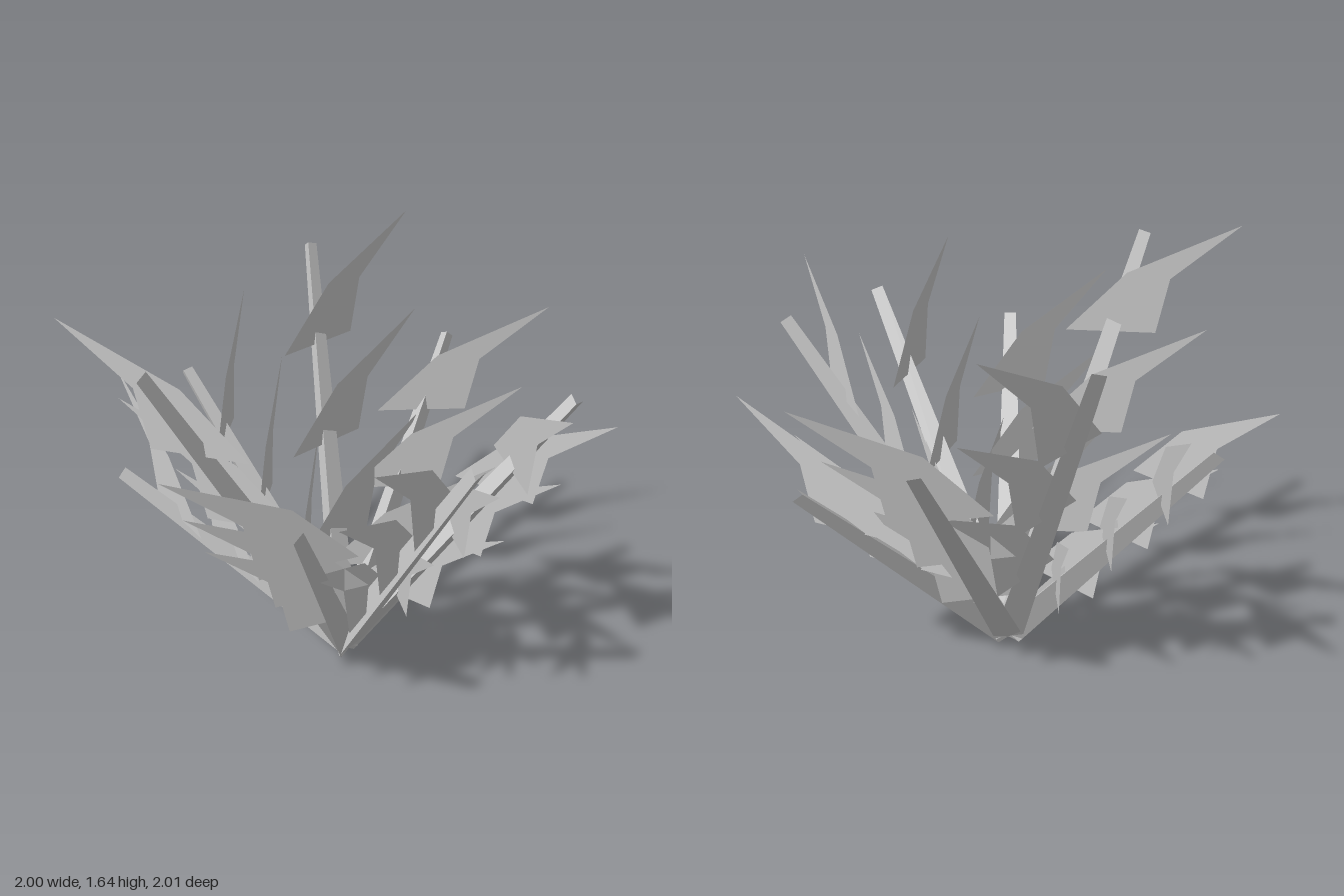
import * as THREE from 'three';

const RADIUS = 0.865;      // horizontal reach of every stem
const ROOT = new THREE.Vector3(0.013, 0.05, 0.012);   // where the stems meet
const LEAF_TURN = 56.5;    // leaf heading relative to its stem, in degrees
// rise of each stem, going round in 40 degree steps from +x towards +z
const RISES = [0.82, 1.295, 1.26, 1.085, 1.505, 0.815, 0.99, 1.435, 1.075];

// flat, swept-back leaf blade standing upright
function leafGeometry() {
  const outline = [[-0.185, 0], [0.185, 0], [0.235, 0.23], [0.508, 0.457], [0.06, 0.25]];
  return new THREE.ShapeGeometry(new THREE.Shape(outline.map(([x, y]) => new THREE.Vector2(x, y))));
}

export function createModel() {
  const model = new THREE.Group();
  model.name = 'spikyPlant';
  const stemMaterial = new THREE.MeshStandardMaterial({ color: 0xcccccc, flatShading: true });
  const leafMaterial = new THREE.MeshStandardMaterial({ color: 0xcccccc, side: THREE.DoubleSide });
  const leafShape = leafGeometry();
  const up = new THREE.Vector3(0, 1, 0);

  RISES.forEach((rise, i) => {
    const angle = THREE.MathUtils.degToRad(i * 40);
    const branch = new THREE.Group();
    branch.name = 'branch' + (i + 1);
    branch.position.copy(ROOT);
    const span = new THREE.Vector3(RADIUS * Math.cos(angle), rise, RADIUS * Math.sin(angle));

    // tapered three-sided stem without end caps, one ridge towards +x
    const stem = new THREE.Mesh(
      new THREE.CylinderGeometry(0.029, 0.068, span.length(), 3, 1, true, Math.PI / 2), stemMaterial);
    stem.name = 'stem';
    stem.position.copy(span).multiplyScalar(0.5);
    stem.quaternion.setFromUnitVectors(up, span.clone().normalize());
    branch.add(stem);

    // three leaves spaced along the stem
    for (const t of [0.25, 0.5, 0.75]) {
      const leaf = new THREE.Mesh(leafShape, leafMaterial);
      leaf.name = 'leaf';
      leaf.position.copy(span).multiplyScalar(t);
      leaf.rotation.y = -(angle + THREE.MathUtils.degToRad(LEAF_TURN));
      branch.add(leaf);
    }
    model.add(branch);
  });
  return model;
}
